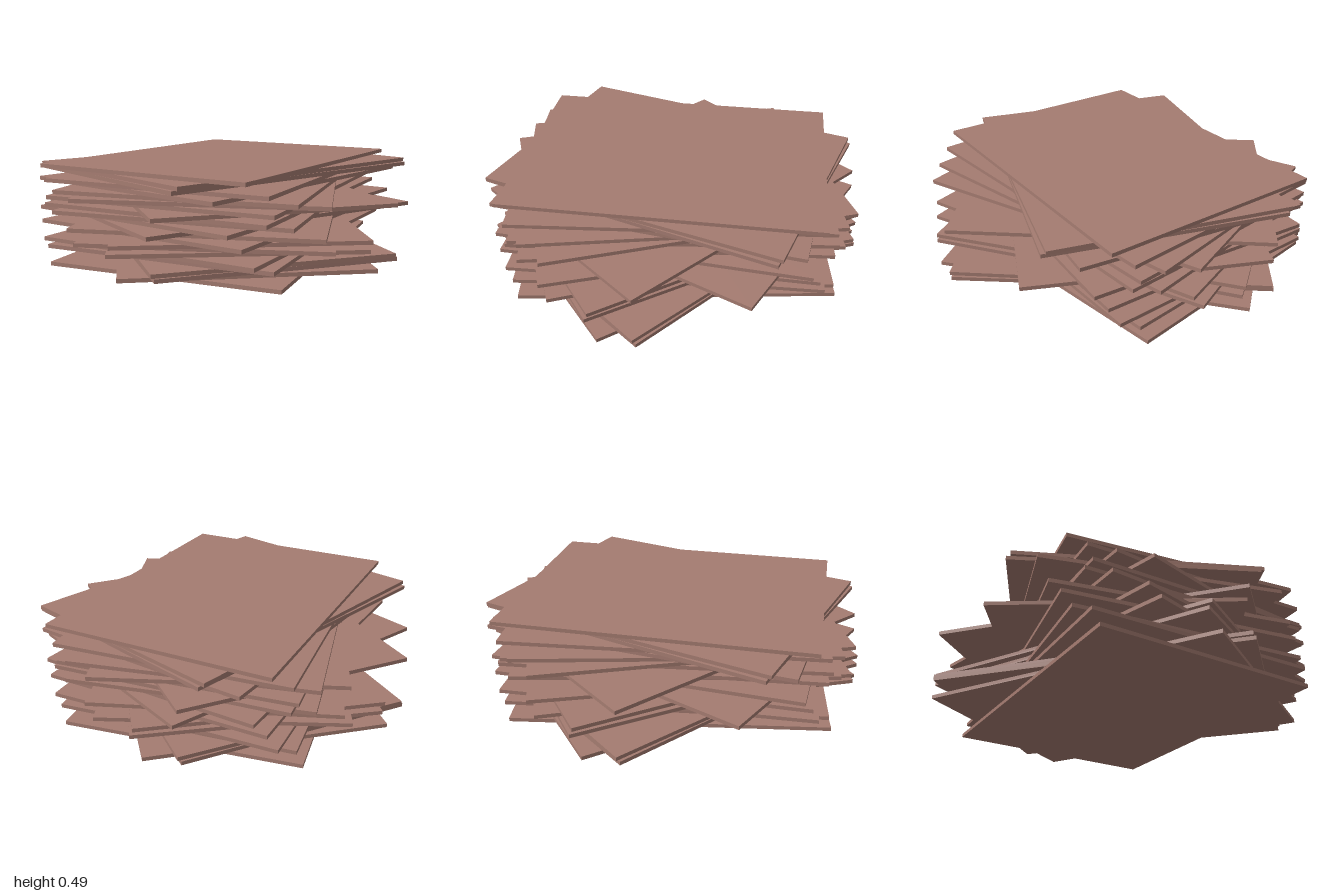
import * as THREE from 'three';

// Stack of thin rectangular sheets, each turned about the vertical axis.
export function createModel() {
  const group = new THREE.Group();
  group.name = 'sheetStack';

  const clay = new THREE.MeshStandardMaterial({ color: 0xa57c71 });
  clay.name = 'dusty brown';

  // Turn of each sheet in degrees, bottom to top (positive is clockwise from above)
  const turns = [
    0, -31, -42, -41, 2, 7, -27.5, -15, -28.5, 10, -12, 33.8,
    13.5, -3, 4, -41.2, 2, -13.4, -4, 17, 3.5, 27, 25.5, 9.1,
  ];
  const height = 0.49;
  const pitch = height / turns.length;
  const sheet = new THREE.BoxGeometry(1.2, pitch * 0.96, 1.6);

  turns.forEach((deg, i) => {
    const mesh = new THREE.Mesh(sheet, clay);
    mesh.name = `sheet${i + 1}`;
    mesh.position.y = pitch * (i + 0.5);
    mesh.rotation.y = -THREE.MathUtils.degToRad(deg);
    group.add(mesh);
  });

  return group;
}
